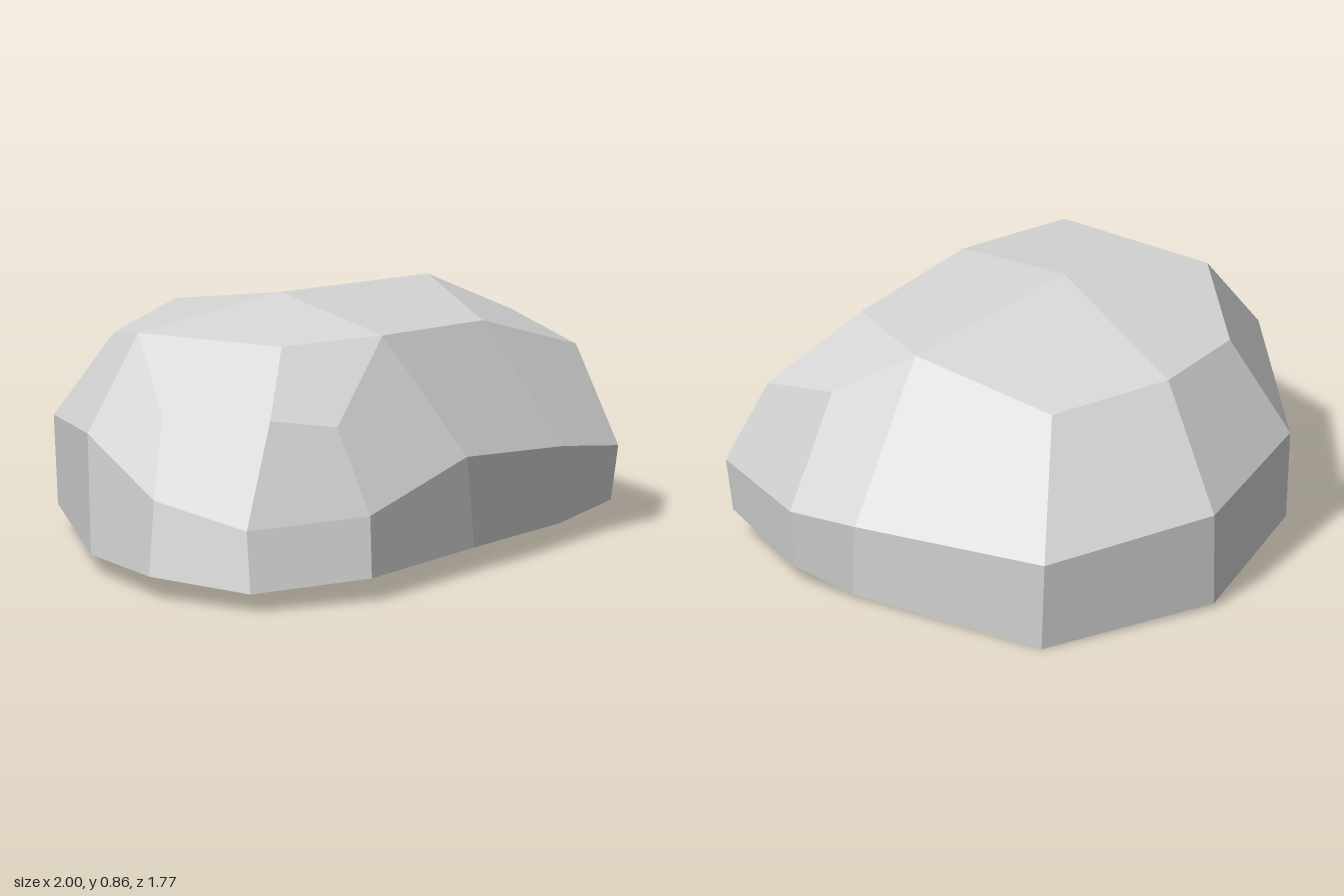
import * as THREE from 'three';

const V = (x, y, z) => new THREE.Vector3(x, y, z);

// Cross-sections of the boulder, each running from the left side round the front
const base = [
  V(0.96, 0.06, 0.19), V(0.87, 0.10, 0.60), V(0.62, 0.06, 0.62), V(0.10, 0.08, 0.77),
  V(-0.47, 0.08, 0.89), V(-0.89, 0.065, 0.75), V(-1, 0.08, 0.37), V(-0.87, 0.065, -0.06),
  V(-0.49, 0.085, -0.64), V(0.05, 0.015, -0.885), V(0.70, 0, -0.75), V(0.90, 0.015, -0.03),
];
const middle = [
  V(1, 0.28, 0.17), V(0.89, 0.285, 0.615), V(0.61, 0.33, 0.65), V(0.05, 0.40, 0.79),
  V(-0.45, 0.285, 0.86), V(-0.87, 0.27, 0.71), V(-0.96, 0.33, 0.35), V(-0.885, 0.48, -0.06),
  V(-0.50, 0.39, -0.65), V(0.04, 0.33, -0.875), V(0.70, 0.31, -0.765), V(0.935, 0.29, -0.08),
];
const upper = [
  V(0.84, 0.68, 0.14), V(0.85, 0.61, 0.45), V(0.44, 0.75, 0.44), V(-0.085, 0.79, 0.52),
  V(-0.48, 0.57, 0.73), V(-0.70, 0.61, 0.64), V(-0.83, 0.58, 0.25), V(-0.63, 0.78, -0.09),
  V(-0.41, 0.69, -0.45), V(0, 0.72, -0.60), V(0.43, 0.69, -0.50), V(0.62, 0.805, -0.03),
];
const peak = V(-0.10, 0.86, 0.03);
const shoulder = V(-0.48, 0.80, 0.455);
const baseCentre = V(0.14, 0.01, -0.285);
const baseBump = V(-0.76, 0.045, 0.60);

export function createModel() {
  const stone = new THREE.MeshStandardMaterial({ color: 0xd8d8d8 });
  stone.name = 'stone grey';

  const points = [];
  const normals = [];
  // One facet of three or four corners with a single normal; quads split along the shorter diagonal
  const facet = (a, b, c, d = a) => {
    const normal = c.clone().sub(a).cross(d.clone().sub(b)).normalize();
    let corners = [a, b, c];
    if (d !== a) {
      corners = a.distanceTo(c) < b.distanceTo(d) ? [a, b, c, a, c, d] : [a, b, d, b, c, d];
    }
    for (const p of corners) {
      points.push(p);
      normals.push(normal.x, normal.y, normal.z);
    }
  };

  // Side facets
  const n = base.length;
  for (let i = 0; i < n; i++) {
    const j = (i + 1) % n;
    facet(base[j], base[i], middle[i], middle[j]);
    facet(middle[j], middle[i], upper[i], upper[j]);
  }

  // Crown facets
  const u = upper;
  facet(u[11], u[2], u[1], u[0]);
  facet(peak, u[3], u[2], u[11]);
  facet(peak, u[7], shoulder, u[3]);
  facet(shoulder, u[7], u[6], u[5]);
  facet(shoulder, u[4], u[3]);
  facet(shoulder, u[5], u[4]);
  facet(peak, u[9], u[8], u[7]);
  facet(peak, u[11], u[10], u[9]);

  // Underside: back half, middle, left front corner
  const b = base;
  for (let i = 7; i < 11; i++) facet(baseCentre, b[i], b[i + 1]);
  facet(baseCentre, b[11], b[3]);
  facet(baseCentre, b[3], b[7]);
  facet(b[11], b[0], b[2], b[3]);
  facet(b[0], b[1], b[2]);

  // Underside: small bump at the right front corner
  for (let i = 3; i < 7; i++) facet(baseBump, b[i], b[i + 1]);
  facet(baseBump, b[7], b[3]);

  const geometry = new THREE.BufferGeometry().setFromPoints(points);
  geometry.setAttribute('normal', new THREE.Float32BufferAttribute(normals, 3));

  const boulder = new THREE.Mesh(geometry, stone);
  boulder.name = 'boulder';
  const group = new THREE.Group();
  group.name = 'rock';
  group.add(boulder);
  return group;
}
